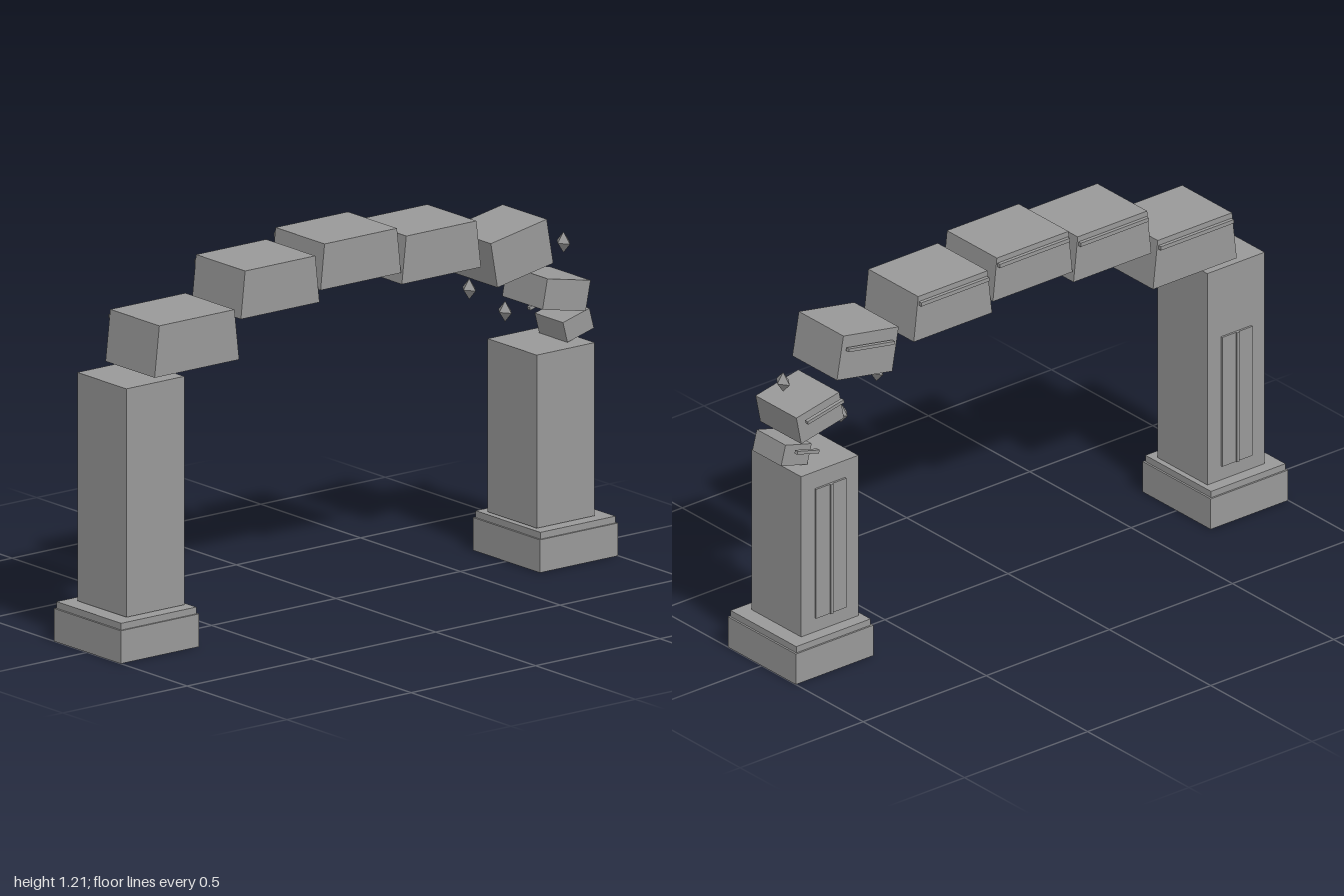
import * as THREE from 'three';

export function createModel() {
  const root = new THREE.Group();
  root.name = 'ruinedArch';
  const stone = new THREE.MeshStandardMaterial({ color: 0x999999 });
  stone.name = 'grey stone';

  const add = (parent, name, geometry, x, y, z) => {
    const mesh = new THREE.Mesh(geometry, stone);
    mesh.name = name;
    mesh.position.set(x, y, z);
    parent.add(mesh);
    return mesh;
  };
  const box = (parent, name, w, h, d, x, y, z) =>
    add(parent, name, new THREE.BoxGeometry(w, h, d), x, y, z);

  // Box whose top is narrowed along x
  const wedge = (bottom, top, h, d) => {
    const g = new THREE.BoxGeometry(bottom, h, d);
    const p = g.attributes.position;
    for (let i = 0; i < p.count; i++) {
      if (p.getY(i) > 0) p.setX(i, p.getX(i) * top / bottom);
    }
    g.computeVertexNormals();
    return g;
  };

  // Pillars: stepped base, shaft and a ribbed panel on the back
  for (const [side, top] of [[-1, 0.875], [1, 0.695]]) {
    const pillar = new THREE.Group();
    pillar.name = side < 0 ? 'tallPillar' : 'brokenPillar';
    root.add(pillar);
    const bx = side * 0.8425, px = side * 0.825;
    box(pillar, 'base', 0.315, 0.107, 0.336, bx, 0.0535, 0);
    box(pillar, 'baseStep', 0.302, 0.022, 0.324, bx, 0.118, 0);
    box(pillar, 'shaft', 0.233, top - 0.131, 0.246, px, (top + 0.131) / 2, 0);
    box(pillar, 'backPanel', 0.122, 0.455, 0.009, px, 0.4075, -0.1255);
    box(pillar, 'panelRib', 0.01, 0.455, 0.012, px, 0.4075, -0.129);
  }

  // Intact arch stones: [x, bottom y, top y, bottom width, top width]
  const stones = [
    [-0.658, 0.891, 1.057, 0.34, 0.302],
    [-0.323, 1.021, 1.175, 0.316, 0.282],
    [0.001, 1.059, 1.207, 0.323, 0.291],
    [0.325, 1.021, 1.175, 0.318, 0.282],
  ];
  for (const [x, y0, y1, bottom, top] of stones) {
    add(root, 'archStone', wedge(bottom, top, y1 - y0, 0.246), x, (y0 + y1) / 2, 0);
    box(root, 'stoneStrip', top - 0.006, 0.013, 0.013, x, y1 - 0.025, -0.1285);
  }

  // Falling stones: [x, y, width, height, depth, tilt, strip length]
  const falling = [
    [0.66, 1.032, 0.228, 0.15, 0.22, 0.177, 0.19],
    [0.846, 0.862, 0.177, 0.099, 0.202, -0.2, 0.15],
    [0.918, 0.744, 0.11, 0.07, 0.142, 0.26, 0.092],
  ];
  for (const [x, y, w, h, d, tilt, length] of falling) {
    box(root, 'fallingStone', w, h, d, x, y, 0).rotation.z = tilt;
    box(root, 'fallingStrip', length, 0.011, 0.013, x, y + 0.032, -0.1235).rotation.z = tilt;
  }

  // Floating shards
  for (const [x, y] of [[0.937, 0.99], [0.558, 0.904], [0.702, 0.806]]) {
    add(root, 'shard', new THREE.OctahedronGeometry(1), x, y, -0.028).scale.set(0.023, 0.034, 0.033);
  }

  return root;
}
